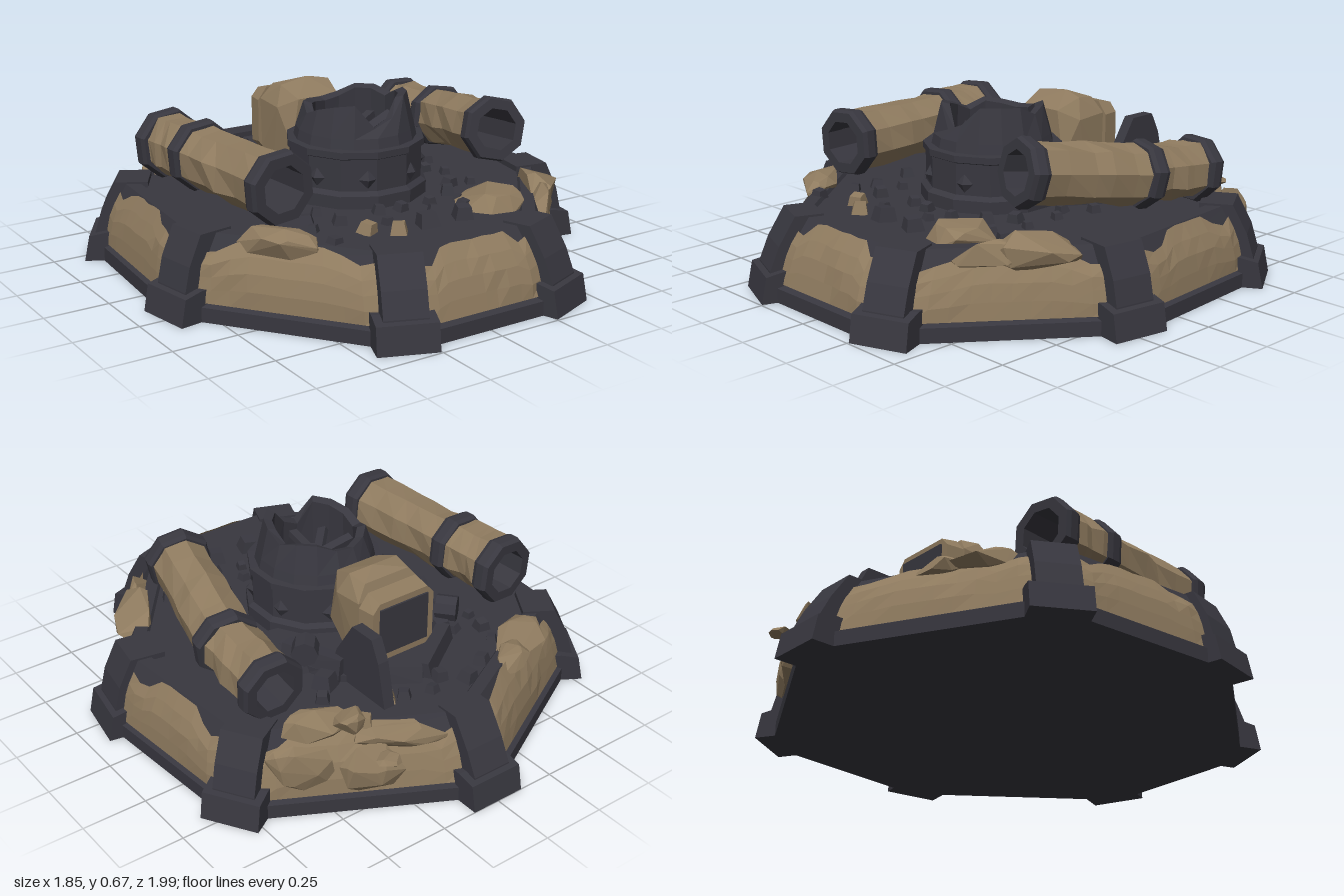
import * as THREE from 'three';
import { ConvexGeometry } from 'three/addons/geometries/ConvexGeometry.js';

const iron = new THREE.MeshStandardMaterial({ color: 0x38373f });
iron.name = 'dark iron';
const stone = new THREE.MeshStandardMaterial({ color: 0x8f7b5f, side: THREE.DoubleSide });
stone.name = 'tan plating';

// small seeded generator
let seed = 11;
const rnd = (a = 0, b = 1) => {
  seed = (seed * 16807) % 2147483647;
  return a + (b - a) * (seed / 2147483647);
};

// faceted mesh with a name
function part(parent, name, geo, mat) {
  const g = geo.index ? geo.toNonIndexed() : geo;
  g.computeVertexNormals();
  const m = new THREE.Mesh(g, mat);
  m.name = name;
  parent.add(m);
  return m;
}

// skin over a list of rows of points; rows run counter-clockwise seen from above
function loft(rows, closed = true) {
  const n = rows[0].length, idx = [];
  for (let i = 0; i < rows.length - 1; i++) {
    for (let j = 0; j < (closed ? n : n - 1); j++) {
      const k = (j + 1) % n, a = i * n, b = a + n;
      idx.push(a + j, a + k, b + k, a + j, b + k, b + j);
    }
  }
  const g = new THREE.BufferGeometry();
  g.setAttribute('position', new THREE.Float32BufferAttribute(rows.flat(2), 3));
  g.setIndex(idx);
  return g;
}

const ring = (n, r, y, jitter = 0) => Array.from({ length: n }, (_, j) => {
  const a = ((j + 0.5) / n) * Math.PI * 2;
  const q = r + rnd(-jitter, jitter);
  return [Math.sin(a) * q, typeof y === 'function' ? y(j) : y, Math.cos(a) * q];
});
const turned = (n, profile) => loft(profile.map(([r, y]) => ring(n, r, y)));
const hull = pts => new ConvexGeometry(pts.map(p => new THREE.Vector3(...p)));
const outline = pts => new THREE.Shape(pts.map(p => new THREE.Vector2(...p)));

// angular lump of debris
function lump(parent, name, [x, y, z], [sx, sy, sz], mat, turn = 0) {
  const pts = [];
  for (let i = 0; i < 22; i++) {
    const a = rnd(0, 6.283), h = rnd(-1, 1), q = Math.sqrt(1 - h * h);
    pts.push([Math.cos(a) * q * sx, h * sy, Math.sin(a) * q * sz]);
  }
  const m = part(parent, name, hull(pts), mat);
  m.position.set(x, y, z);
  m.rotation.y = turn;
}

// seven-sided foundation; wall profile holds x scale, z scale and height
const corners = [[0.34, 0.94], [0.88, 0.23], [0.82, -0.53], [0, -0.97], [-0.82, -0.53], [-0.88, 0.23], [-0.34, 0.94]];
const wall = [[0.975, 0.97, 0.062], [0.95, 0.925, 0.19], [0.89, 0.855, 0.3]];
function foundation(root) {
  const profile = [[0, 0, 0], [1, 1, 0], [1, 1, 0.055], ...wall, [0.83, 0.8, 0.3], [0.82, 0.79, 0.287], [0, 0, 0.287]];
  part(root, 'foundation', loft(profile.map(([sx, sz, y]) => corners.map(([x, z]) => [x * sx, y, z * sz]))), iron);

  // chipped wall plates between the buttresses
  const cols = 10, levels = 4;
  corners.forEach(([x0, z0], i) => {
    const [x1, z1] = corners[(i + 1) % 7];
    const margin = 0.085 / Math.hypot(x1 - x0, z1 - z0);
    const tops = Array.from({ length: cols + 1 }, (_, c) => {
      const e = Math.min(c, cols - c);
      return e < 2 ? rnd(0.66, 0.86) : e < 3 ? rnd(0.76, 0.98) : rnd(0.95, 1);
    });
    const bulge = Array.from({ length: 4 }, () => rnd(0.012, 0.022));
    const rows = [];
    for (let l = 0; l <= levels; l++) {
      rows.push(tops.map((top, c) => {
        const v = 2 * (l / levels) * top, k = v < 1 ? 0 : 1;
        const u = margin + (1 - 2 * margin) * (c / cols);
        const edge = l === 0 || l === levels || c === 0 || c === cols;
        const [sx, sz, y] = wall[k].map((w, q) => w + (wall[k + 1][q] - w) * (v - k));
        const out = edge ? 0.008 : bulge[(c + l) >> 2];
        return [(x0 + (x1 - x0) * u) * (sx + out), y + 0.004, (z0 + (z1 - z0) * u) * (sz + out)];
      }));
    }
    part(root, 'wallPlate', loft(rows, false), stone);
  });
}

// leaning buttress with a wider foot; lean is how far the top sits back
function buttress(root, x, z, nx, nz, lean) {
  const b = new THREE.Group();
  b.name = 'buttress';
  const slab = (name, pts, w) => {
    const g = new THREE.ExtrudeGeometry(outline(pts), { depth: w, bevelEnabled: false });
    part(b, name, g.translate(0, 0, -w / 2), iron);
  };
  slab('buttressFoot', [[-0.22, 0], [0, 0], [-0.02, 0.1], [-0.09, 0.115], [-0.22, 0.115]], 0.22);
  slab('buttressRib', [[-0.25, 0], [-0.035, 0], [-0.042, 0.11], [-lean * 0.55, 0.2], [-lean, 0.308], [-0.25, 0.308]], 0.16);
  b.position.set(x, 0, z);
  b.rotation.y = Math.atan2(-nz, nx);
  root.add(b);
}

// broken round turret in the middle of the deck
function turret(root) {
  const t = new THREE.Group();
  t.name = 'turret';
  part(t, 'turretDrum', turned(12, [[0.275, 0.28], [0.275, 0.335], [0.255, 0.35], [0.255, 0.47], [0.265, 0.475], [0.265, 0.5], [0.2, 0.505]]), iron);
  const tops = [0.6, 0.67, 0.67, 0.665, 0.63, 0.65, 0.65, 0.62, 0.61, 0.62, 0.63, 0.6, 0.63, 0.65, 0.66, 0.57];
  part(t, 'brokenCrown', loft([
    ring(16, 0.235, 0.495), ring(16, 0.225, 0.54), ring(16, 0.195, j => tops[j]),
    ring(16, 0.162, j => tops[j] - 0.01), ring(16, 0.17, 0.46), ring(16, 0, 0.45)]), iron);
  for (let i = 0; i < 8; i++) {
    const a = ((i + 0.5) / 8) * Math.PI * 2;
    const bolt = part(t, 'turretBolt', new THREE.OctahedronGeometry(0.035), iron);
    bolt.scale.z = 0.6;
    bolt.position.set(Math.sin(a) * 0.25, 0.395, Math.cos(a) * 0.25);
    bolt.rotation.y = a;
    // splintered blades inside the crown
    const blade = part(t, 'innerBlade', new THREE.BoxGeometry(0.035, 0.025, 0.14), iron);
    blade.position.set(Math.sin(a + 0.3) * 0.095, 0.5 + rnd(0, 0.03), Math.cos(a + 0.3) * 0.095);
    blade.rotation.set(rnd(-0.5, 0), a + rnd(0, 0.5), rnd(-0.5, 0.5), 'YXZ');
  }
  t.position.z = 0.09;
  root.add(t);
}

// hollow pipe through the given points, plated, with a collar at each point
function pipe(root, name, pts, r) {
  const g = new THREE.Group();
  g.name = name;
  const v = pts.map(p => new THREE.Vector3(...p));
  const place = (m, at, dir) => {
    m.position.copy(at);
    m.quaternion.setFromUnitVectors(new THREE.Vector3(0, 1, 0), dir);
  };
  v.forEach((p, i) => {
    const a = v[Math.max(0, i - 1)], b = v[Math.min(v.length - 1, i + 1)];
    const w = 0.035, o = r * 1.12, h = r * 0.72;
    place(part(g, 'pipeCollar', turned(8, [[o * 0.94, -w], [o, -w * 0.5], [o, w * 0.5], [o * 0.94, w], [h, w], [h, -w], [o * 0.94, -w]]), iron),
      p, b.clone().sub(a).normalize());
    if (i === v.length - 1) return;
    const dir = v[i + 1].clone().sub(p), len = dir.length();
    dir.normalize();
    place(part(g, 'pipeLining', turned(8, [[r * 0.8, 0], [r * 0.8, len], [r * 0.74, len], [r * 0.74, 0], [r * 0.8, 0]]), iron), p, dir);
    const rows = [0, 0.25, 0.48, 0.62, 0.82, 1].map((f, k) => ring(8, r * (k % 5 ? 0.97 : 0.99), f * len, k % 5 ? 0.01 : 0));
    place(part(g, 'pipePlating', loft(rows), stone), p, dir);
  });
  root.add(g);
}

// tan hatch housing with a dark rear opening, held by broken bracket plates
function hatch(root) {
  const h = new THREE.Group();
  h.name = 'hatchHousing';
  part(h, 'housing', hull([
    ...[-1, 1].flatMap(s => [
      [s * 0.14, 0.36, -0.37], [s * 0.145, 0.56, -0.37], [s * 0.1, 0.62, -0.35], [s * 0.11, 0.63, -0.27],
      [s * 0.145, 0.55, -0.24], [s * 0.09, 0.59, -0.17], [s * 0.12, 0.4, -0.17], [s * 0.13, 0.3, -0.3]]),
    [0.02, 0.645, -0.29]]), stone);
  part(h, 'hatchFrame', hull([-1, 1].flatMap(s => [
    [s * 0.15, 0.38, -0.38], [s * 0.15, 0.55, -0.38], [s * 0.11, 0.33, -0.38], [s * 0.11, 0.6, -0.38],
    [s * 0.14, 0.37, -0.45], [s * 0.14, 0.55, -0.45], [s * 0.11, 0.34, -0.45], [s * 0.11, 0.585, -0.45]])), stone);
  const opening = part(h, 'hatchOpening', new THREE.BoxGeometry(0.22, 0.19, 0.009), iron);
  opening.position.set(0, 0.465, -0.453);

  const plat = outline([[-0.3, 0.1], [-0.27, 0.4], [-0.04, 0.57], [0.06, 0.56], [0.26, 0.4], [0.38, 0.12], [0.3, 0]]);
  const p = part(h, 'bracketPlatform', new THREE.ExtrudeGeometry(plat, { depth: 0.04, bevelEnabled: false }), iron);
  p.rotation.x = -Math.PI / 2;
  p.position.y = 0.275;
  // standing plate beside the opening
  const cheek = outline([[0.32, 0.29], [0.64, 0.29], [0.6, 0.46], [0.56, 0.54], [0.45, 0.54], [0.36, 0.4]]);
  const c = part(h, 'bracketCheek', new THREE.ExtrudeGeometry(cheek, { depth: 0.045, bevelEnabled: false }), iron);
  c.position.x = 0.19;
  c.rotation.y = Math.PI / 2;
  // low ridges: ends in plan, then the height at each end
  for (const [x0, z0, x1, z1, y0, y1] of [[0, -0.56, 0.17, -0.45, 0.35, 0.36], [0, -0.56, -0.24, -0.4, 0.35, 0.35],
    [0.23, -0.4, 0.31, -0.15, 0.38, 0.36], [-0.24, -0.4, -0.28, -0.18, 0.35, 0.38]]) {
    const l = Math.hypot(x1 - x0, z1 - z0), ox = (-(z1 - z0) / l) * 0.025, oz = ((x1 - x0) / l) * 0.025;
    part(h, 'bracketRidge', hull([-1, 1].flatMap(s => [
      [x0 + s * ox * 1.6, 0.29, z0 + s * oz * 1.6], [x0 + s * ox, y0, z0 + s * oz],
      [x1 + s * ox * 1.6, 0.29, z1 + s * oz * 1.6], [x1 + s * ox, y1, z1 + s * oz]])), iron);
  }
  for (const [x, z, a] of [[-0.29, -0.36, 0.7], [0.31, -0.27, -0.7]]) {
    const bolt = part(h, 'bracketBolt', new THREE.CylinderGeometry(0.05, 0.05, 0.08, 8), iron);
    bolt.position.set(x, 0.38, z);
    bolt.rotation.set(Math.PI / 2, a, 0, 'YXZ');
  }
  root.add(h);
}

export function createModel() {
  const root = new THREE.Group();
  root.name = 'ruinedBunker';
  foundation(root);
  for (const s of [-1, 1]) {
    buttress(root, s * 0.357, 0.955, s * 0.36, 0.93, 0.142);
    buttress(root, s * 0.905, 0.24, s * 0.98, 0.17, 0.115);
    buttress(root, s * 0.837, -0.54, s * 0.85, -0.52, 0.125);
  }
  buttress(root, 0, -1, 0, -1, 0.16);
  turret(root);
  hatch(root);
  pipe(root, 'rightHandPipe', [[-0.51, 0.455, 0.38], [-0.55, 0.455, -0.12], [-0.57, 0.45, -0.35]], 0.122);
  pipe(root, 'leftHandPipe', [[0.45, 0.515, 0.36], [0.56, 0.44, -0.13], [0.57, 0.41, -0.42]], 0.115);

  // tan rubble heaps: position, half sizes, turn
  for (const [p, s, a] of [
    [[0.31, 0.3, 0.53], [0.15, 0.06, 0.13], 0.3], [[0.61, 0.29, 0.44], [0.08, 0.08, 0.18], -0.64],
    [[0.51, 0.28, 0.58], [0.06, 0.06, 0.14], -0.64], [[-0.57, 0.29, 0.47], [0.08, 0.06, 0.16], 0.64],
    [[-0.46, 0.285, -0.58], [0.18, 0.05, 0.1], 0.49], [[-0.36, 0.285, -0.65], [0.12, 0.04, 0.07], 0.49],
    [[0.49, 0.3, -0.57], [0.14, 0.06, 0.08], -0.4], [[0.4, 0.32, -0.65], [0.07, 0.05, 0.05], 0.2],
    [[0.26, 0.27, -0.77], [0.18, 0.045, 0.045], -0.49], [[0.38, 0.17, -0.76], [0.12, 0.11, 0.035], -0.49],
    [[0.35, 0.24, -0.82], [0.06, 0.015, 0.045], 0.2], [[0.6, 0.2, -0.63], [0.13, 0.1, 0.035], -0.49]]) {
    lump(root, 'rubbleHeap', p, s, stone, a);
  }

  // loose blocks scattered over the deck: x, z, size, material
  const blocks = [[0.31, -0.39, 0.08, iron], [-0.03, 0.6, 0.075, iron], [0.13, 0.6, 0.07, iron], [-0.13, -0.67, 0.06, iron],
    [0.13, -0.62, 0.05, iron], [0.19, -0.6, 0.055, stone], [-0.25, 0.55, 0.06, stone], [-0.16, 0.61, 0.06, stone],
    [-0.38, 0.35, 0.05, iron], [-0.35, 0.1, 0.05, iron], [0.34, -0.66, 0.055, stone], [-0.42, 0.6, 0.05, iron]];
  for (let i = 0; i < 220; i++) {
    const a = i * 2.4, q = Math.sqrt(0.2 + 0.8 * ((i * 0.7549) % 1)), x = Math.sin(a) * q * 0.62, z = Math.cos(a) * q * 0.7;
    const free = Math.hypot(x, z - 0.09) > 0.32 && !(Math.abs(x) > 0.43 && Math.abs(z) < 0.45)
      && !(Math.abs(x) < 0.28 && z < 0 && z > -0.58) && blocks.every(b => Math.hypot(b[0] - x, b[1] - z) > 0.085);
    if (free) blocks.push([x, z, rnd(0.035, 0.055), iron]);
  }
  for (const [x, z, s, mat] of blocks) {
    const b = part(root, 'looseBlock', new THREE.CylinderGeometry(s * 0.5, s * 0.7, s * 0.7, 4), mat);
    b.position.set(x, 0.29 + s * 0.28, z);
    b.rotation.set(rnd(-0.15, 0.15), rnd(0, 3), rnd(-0.15, 0.15));
  }
  return root;
}
